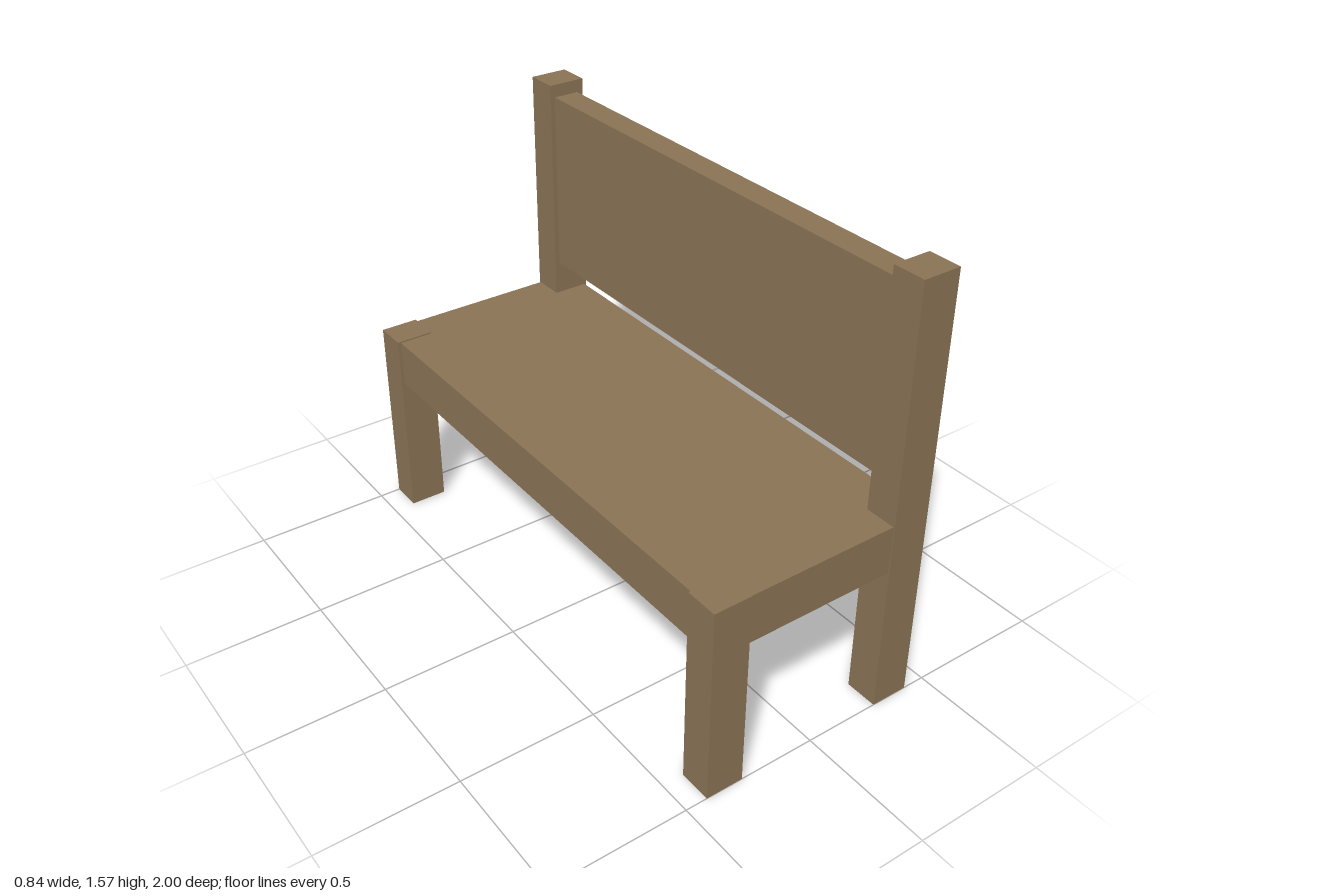
import * as THREE from 'three';

export function createModel() {
  const group = new THREE.Group();
  const wood = new THREE.MeshStandardMaterial({ color: 0x8b7355 });
  wood.name = 'wood';

  // Box given by its min and max on each axis
  function board(name, [x0, x1], [y0, y1], [z0, z1]) {
    const mesh = new THREE.Mesh(new THREE.BoxGeometry(x1 - x0, y1 - y0, z1 - z0), wood);
    mesh.position.set((x0 + x1) / 2, (y0 + y1) / 2, (z0 + z1) / 2);
    mesh.name = name;
    group.add(mesh);
  }

  // Short legs on the open side, tall posts carrying the backrest
  for (const [end, z] of [['Front', [0.88, 1]], ['Rear', [-1, -0.88]]]) {
    board('shortLeg' + end, [-0.42, -0.282], [0, 0.732], z);
    board('backPost' + end, [0.278, 0.418], [0, 1.572], z);
  }

  // Thick seat slab, slightly inset from the leg faces
  board('seat', [-0.408, 0.41], [0.55, 0.727], [-0.994, 0.994]);

  // Backrest panel between the posts
  board('backrest', [0.296, 0.393], [0.855, 1.525], [-0.9, 0.9]);

  return group;
}
